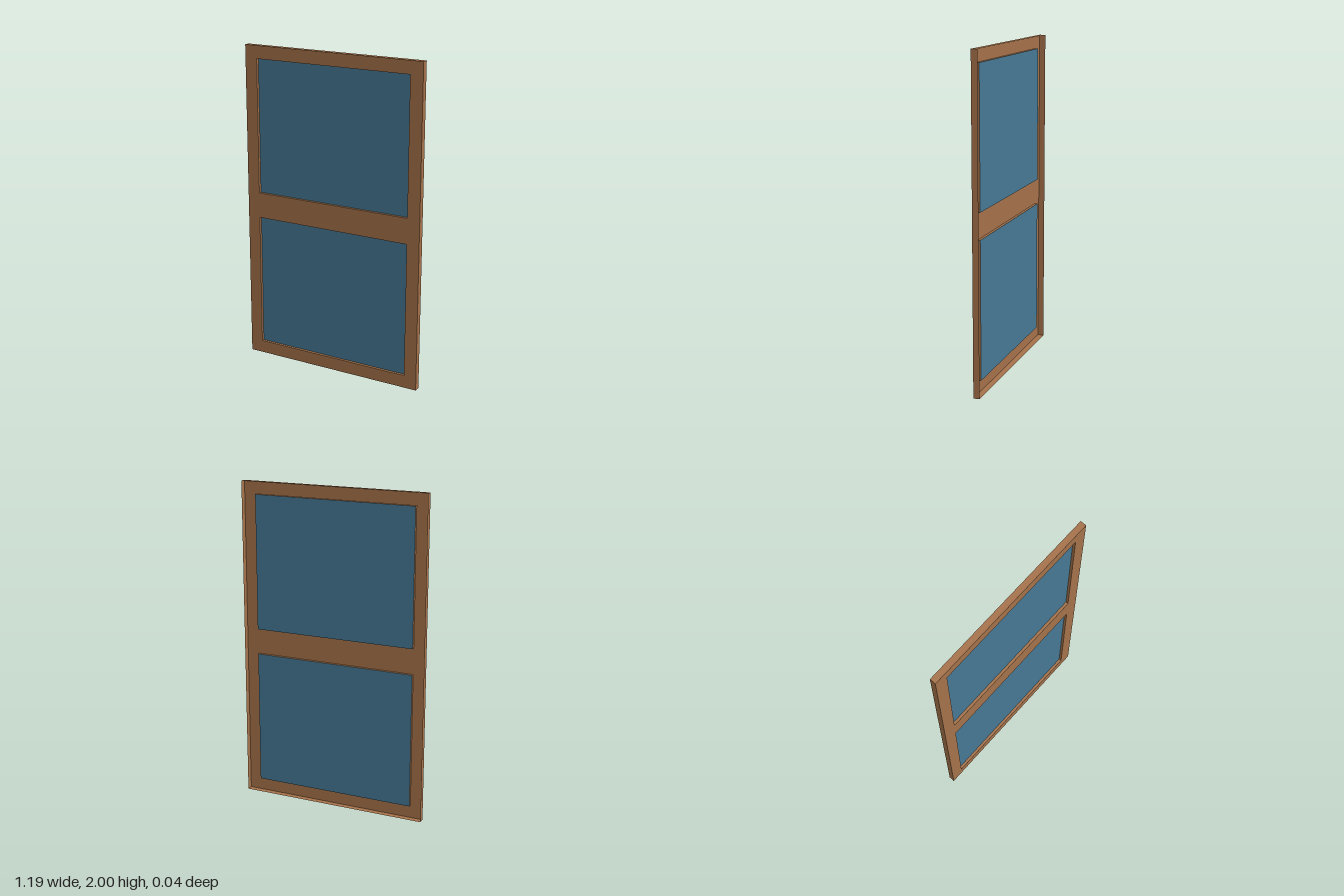
import * as THREE from 'three';

const W = 1.192, H = 2, FRONT = 0.019, BACK = -0.019, GLASS_Z = 0.002;
const PANE_W = 1.03, PANE_H = 0.84, PANE_Y = [0.5, 1.5];

export function createModel() {
  const wood = new THREE.MeshStandardMaterial({ color: 0xa5724a, side: THREE.DoubleSide });
  wood.name = 'wood brown';
  const glass = new THREE.MeshStandardMaterial({ color: 0x467894, side: THREE.DoubleSide });
  glass.name = 'glass blue';

  const group = new THREE.Group();
  group.name = 'window';

  const add = (parent, name, geometry, material, x, y, z) => {
    const mesh = new THREE.Mesh(geometry, material);
    mesh.name = name;
    mesh.position.set(x, y, z);
    parent.add(mesh);
    return mesh;
  };

  // Four thin walls around a rectangle, open at front and back
  const addWalls = (name, w, h, y, z0, z1) => {
    const walls = new THREE.Group();
    walls.name = name;
    const depth = z1 - z0, z = (z0 + z1) / 2;
    for (const s of [-1, 1]) {
      const side = new THREE.PlaneGeometry(depth, h).rotateY(s * Math.PI / 2);
      add(walls, s < 0 ? 'rightWall' : 'leftWall', side, wood, s * w / 2, y, z);
      const flat = new THREE.PlaneGeometry(w, depth).rotateX(-s * Math.PI / 2);
      add(walls, s < 0 ? 'bottomWall' : 'topWall', flat, wood, 0, y + s * h / 2, z);
    }
    group.add(walls);
  };

  // Rectangle corners, counter-clockwise
  const rect = (w, h, y) => [[-1, -1], [1, -1], [1, 1], [-1, 1]]
    .map(([a, b]) => new THREE.Vector2(a * w / 2, y + b * h / 2));

  // Front face of the frame with two openings; the shell is open at the back
  const face = new THREE.Shape(rect(W, H, H / 2));
  for (const y of PANE_Y) face.holes.push(new THREE.Path(rect(PANE_W, PANE_H, y).reverse()));
  add(group, 'frameFace', new THREE.ShapeGeometry(face), wood, 0, 0, FRONT);
  addWalls('frameRim', W, H, H / 2, BACK, FRONT);

  // Recessed panes with their reveals
  PANE_Y.forEach((y, i) => {
    const label = i ? 'upper' : 'lower';
    addWalls(label + 'Reveal', PANE_W, PANE_H, y, GLASS_Z, FRONT);
    add(group, label + 'Pane', new THREE.PlaneGeometry(PANE_W, PANE_H), glass, 0, y, GLASS_Z);
  });

  return group;
}
